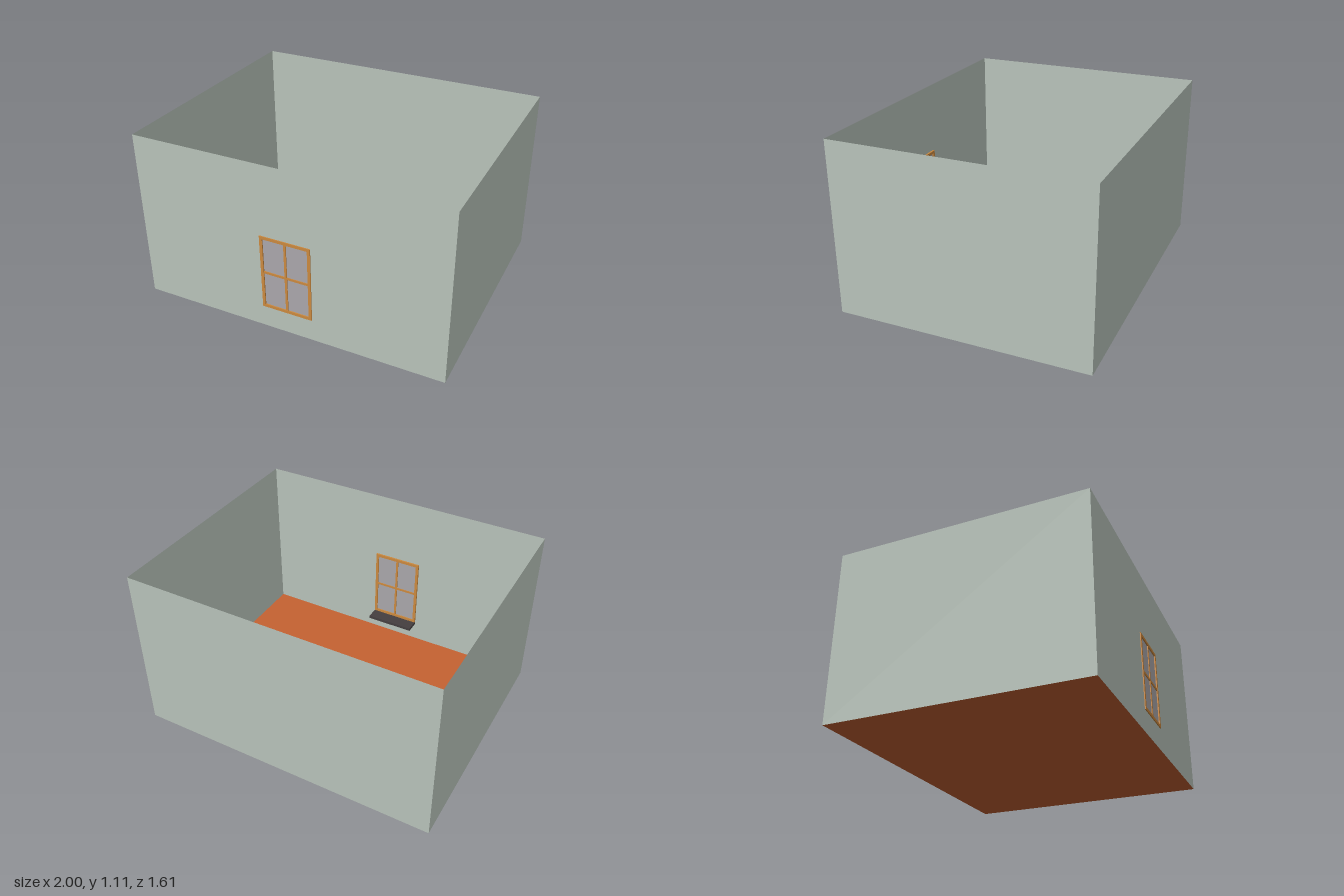
import * as THREE from 'three';

const WALL = 0xb9c4bb, FLOOR = 0xc66232, WOOD = 0xcd8a3f, GLASS = 0xaba8ac, DARK = 0x453f40;
const H = 1.11, BACK = -0.803, FRONT = 0.797;
const WIN = { w: 0.33, y0: 0.147, y1: 0.647, z: 0.794, depth: 0.018, bar: 0.019 };

const material = (color) =>
  new THREE.MeshStandardMaterial({ color, side: THREE.DoubleSide });

export function createModel() {
  const model = new THREE.Group();
  const mats = { wall: material(WALL), floor: material(FLOOR), wood: material(WOOD), glass: material(GLASS), dark: material(DARK) };

  const add = (name, geometry, mat, x = 0, y = 0, z = 0, parent = model) => {
    const mesh = new THREE.Mesh(geometry, mat);
    mesh.name = name;
    mesh.position.set(x, y, z);
    parent.add(mesh);
    return mesh;
  };

  // Floor and thin walls, open at the top
  const depth = FRONT - BACK, midZ = (FRONT + BACK) / 2;
  add('floor', new THREE.PlaneGeometry(2, depth).rotateX(-Math.PI / 2), mats.floor, 0, 0, midZ);
  add('backWall', new THREE.PlaneGeometry(2, H).rotateY(Math.PI), mats.wall, 0, H / 2, BACK);
  for (const s of [-1, 1]) {
    add(s > 0 ? 'leftWall' : 'rightWall', new THREE.PlaneGeometry(depth, H).rotateY(s * Math.PI / 2), mats.wall, s, H / 2, midZ);
  }

  // Front wall with the window opening
  const shape = new THREE.Shape([[-1, 0], [1, 0], [1, H], [-1, H]].map(p => new THREE.Vector2(...p)));
  const hw = WIN.w / 2 - 0.005, lo = WIN.y0 + 0.005, hi = WIN.y1 - 0.005;
  shape.holes.push(new THREE.Path([[-hw, lo], [-hw, hi], [hw, hi], [hw, lo]].map(p => new THREE.Vector2(...p))));
  add('frontWall', new THREE.ShapeGeometry(shape), mats.wall, 0, 0, FRONT);

  // Window: outer frame, crossing bars and pane
  const win = new THREE.Group();
  win.name = 'window';
  win.position.set(0, (WIN.y0 + WIN.y1) / 2, WIN.z);
  model.add(win);
  const wh = WIN.y1 - WIN.y0, b = WIN.bar;
  for (const s of [-1, 1]) {
    add('frameStile', new THREE.BoxGeometry(b, wh, WIN.depth), mats.wood, s * (WIN.w - b) / 2, 0, 0, win);
    add('frameRail', new THREE.BoxGeometry(WIN.w - 2 * b, b, WIN.depth), mats.wood, 0, s * (wh - b) / 2, 0, win);
  }
  add('verticalBar', new THREE.BoxGeometry(0.015, wh - 2 * b, 0.013), mats.wood, 0, 0, 0, win);
  add('horizontalBar', new THREE.BoxGeometry(WIN.w - 2 * b, 0.015, 0.013), mats.wood, 0, 0, 0, win);
  add('pane', new THREE.BoxGeometry(WIN.w - 2 * b, wh - 2 * b, 0.003), mats.glass, 0, 0, 0, win);

  // Inner sill on two triangular brackets
  const z0 = 0.7, z1 = FRONT - 0.001, top = WIN.y0, under = 0.127;
  add('sill', new THREE.BoxGeometry(WIN.w, top - under, z1 - z0), mats.dark, 0, (top + under) / 2, (z0 + z1) / 2);
  const profile = new THREE.Shape([[0, 0], [0, under - 0.08], [0.08, under - 0.08]].map(p => new THREE.Vector2(...p)));
  const bracket = new THREE.ExtrudeGeometry(profile, { depth: 0.014, bevelEnabled: false })
    .translate(0, 0, -0.007).rotateY(Math.PI / 2);
  for (const s of [-1, 1]) add('sillBracket', bracket, mats.dark, s * 0.12, 0.08, z1);

  return model;
}
